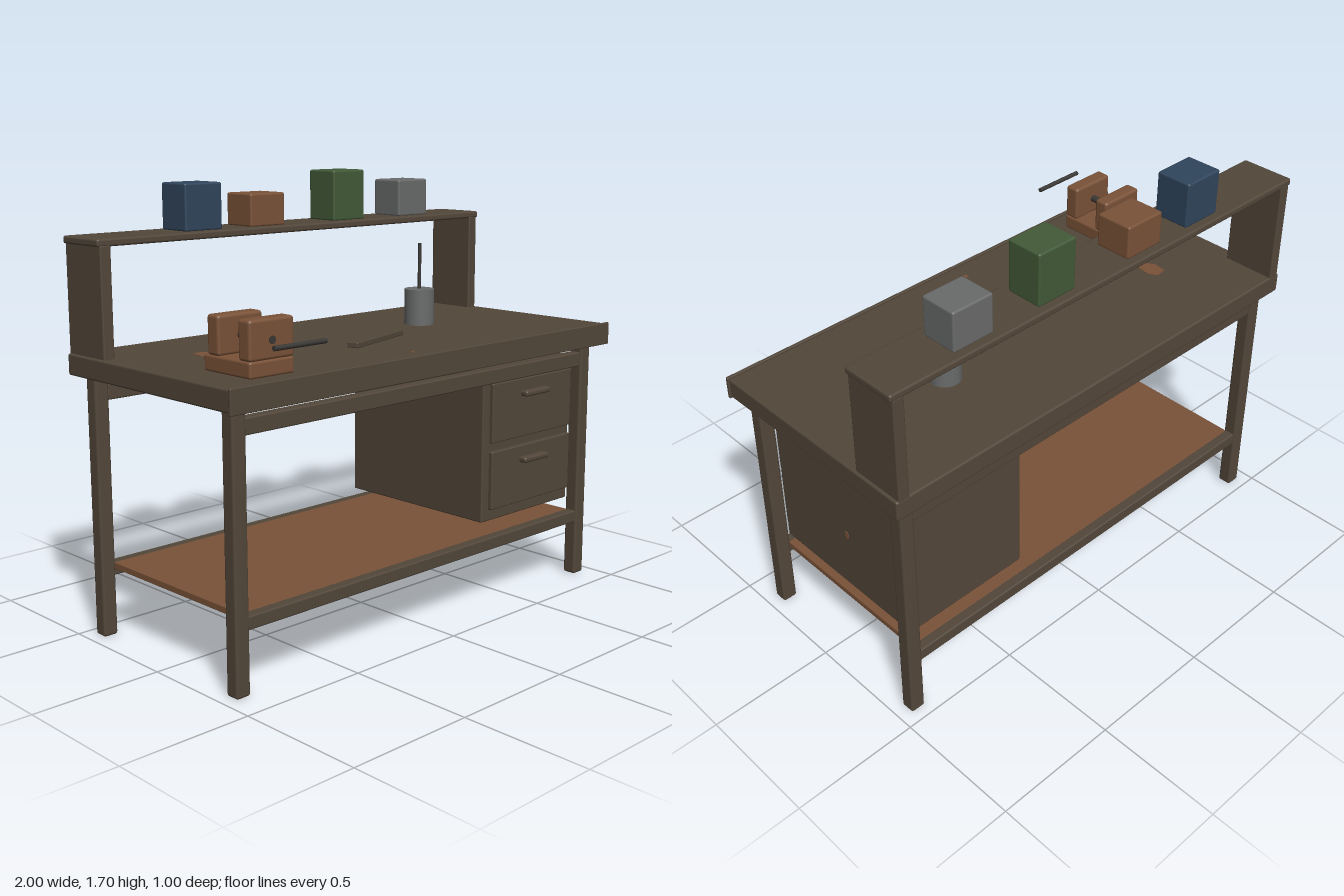
import * as THREE from 'three';
import { RoundedBoxGeometry } from 'three/addons/geometries/RoundedBoxGeometry.js';

const paint = (name, color) => {
  const m = new THREE.MeshStandardMaterial({ color });
  m.name = name;
  return m;
};

export function createModel() {
  const wood = paint('dark wood', 0x53473a);
  const rust = paint('rust brown', 0x7a5238);
  const blue = paint('dull blue', 0x30455c);
  const green = paint('dull green', 0x425a38);
  const grey = paint('grey metal', 0x696b6a);
  const iron = paint('dark iron', 0x393734);

  const model = new THREE.Group();
  model.name = 'workbench';

  const add = (name, geometry, material, parent = model) => {
    const mesh = new THREE.Mesh(geometry, material);
    mesh.name = name;
    parent.add(mesh);
    return mesh;
  };
  // Softly bevelled block given by its min and max on each axis
  const block = (name, [x0, x1], [y0, y1], [z0, z1], material, bevel = 0.006, parent = model) => {
    const size = [x1 - x0, y1 - y0, z1 - z0];
    const r = Math.min(bevel, Math.min(...size) * 0.4);
    const mesh = add(name, new RoundedBoxGeometry(...size, 2, r), material, parent);
    mesh.position.set((x0 + x1) / 2, (y0 + y1) / 2, (z0 + z1) / 2);
    return mesh;
  };
  const rod = (name, radius, length, material, parent = model, sides = 16) =>
    add(name, new THREE.CylinderGeometry(radius, radius, length, sides), material, parent);

  // Worktop with a thin front lip
  block('worktop', [-0.995, 0.995], [0.995, 1.075], [-0.5, 0.43], wood, 0.008);
  block('frontLip', [-1, 1], [0.99, 1.08], [0.428, 0.442], wood, 0.004);

  // Legs
  for (const sx of [-1, 1]) {
    for (const z of [0.357, -0.427]) {
      const x = sx * 0.921;
      block('leg', [x - 0.03, x + 0.03], [0, 1], [z - 0.029, z + 0.029], wood, 0.01);
    }
  }

  // Long rails at front and back, and the lower shelf between them
  for (const z of [0.357, -0.427]) {
    block('upperRail', [-0.895, 0.895], [0.9, 0.96], [z - 0.022, z + 0.022], wood);
    block('lowerRail', [-0.895, 0.895], [0.23, 0.28], [z - 0.022, z + 0.022], wood);
  }
  block('lowerShelf', [-0.89, 0.89], [0.255, 0.28], [-0.41, 0.34], rust, 0.003);

  // Drawer cabinet
  block('cabinet', [0.345, 0.89], [0.33, 0.945], [-0.397, 0.33], wood);
  for (const [y0, y1, handleY] of [[0.65, 0.89, 0.83], [0.378, 0.615, 0.557]]) {
    block('drawerFront', [0.385, 0.88], [y0, y1], [0.325, 0.347], wood, 0.005);
    block('drawerHandle', [0.555, 0.707], [handleY - 0.012, handleY + 0.012], [0.34, 0.378], wood, 0.009);
  }

  // Raised rack over the back edge
  for (const sx of [-1, 1]) {
    const x = sx * 0.962;
    block('rackUpright', [x - 0.023, x + 0.023], [1.07, 1.478], [-0.5, -0.28], wood);
  }
  block('rackShelf', [-0.995, 0.995], [1.472, 1.5], [-0.5, -0.28], wood, 0.008);

  // Storage boxes on the rack
  for (const [x, top, material] of [
    [-0.498, 1.675, blue], [-0.188, 1.625, rust], [0.245, 1.7, green], [0.62, 1.65, grey],
  ]) {
    block('storageBox', [x - 0.086, x + 0.086], [1.498, top], [-0.467, -0.321], material, 0.008);
  }

  // Vise
  const vise = new THREE.Group();
  vise.name = 'vise';
  model.add(vise);
  block('viseBase', [-0.845, -0.65], [1.073, 1.133], [0.107, 0.352], rust, 0.01, vise);
  for (const z of [0.321, 0.158]) {
    block('viseJaw', [-0.845, -0.65], [1.13, 1.27], [z - 0.031, z + 0.031], rust, 0.012, vise);
  }
  const screw = rod('viseScrew', 0.014, 0.25, iron, vise);
  screw.rotation.x = Math.PI / 2;
  screw.position.set(-0.748, 1.197, 0.231);
  const bar = rod('viseHandle', 0.009, 0.224, iron, vise);
  bar.rotation.z = Math.PI / 2;
  bar.position.set(-0.748, 1.198, 0.491);

  // Can with an upright rod
  rod('can', 0.061, 0.146, grey, model, 32).position.set(0.431, 1.148, -0.1);
  rod('canRod', 0.007, 0.2, iron).position.set(0.431, 1.307, -0.1);

  // Flat bar lying on the worktop
  const stick = block('flatBar', [-0.181, 0.181], [1.074, 1.096], [-0.023, 0.023], wood, 0.004);
  stick.position.set(-0.003, 1.085, 0.086);
  stick.rotation.y = 0.285;

  // Rust stains, thin irregular patches
  const outline = [[-0.03, 0.05], [0.018, 0.055], [0.037, 0.02], [0.03, -0.035],
    [0.008, -0.055], [-0.016, -0.045], [-0.037, -0.005]].map(([x, y]) => new THREE.Vector2(x, y));
  const patch = new THREE.ExtrudeGeometry(new THREE.Shape(outline), { depth: 0.004, bevelEnabled: false });
  const stain = (position, rx, ry, scale) => {
    const mesh = add('rustStain', patch, rust);
    mesh.position.set(...position);
    mesh.rotation.set(rx, ry, 0);
    mesh.scale.set(scale, scale, 1);
  };
  stain([-0.652, 1.073, -0.12], -Math.PI / 2, 0, 1);
  stain([-0.652, 0.997, -0.12], Math.PI / 2, 0, 0.7);
  stain([-0.08, 1.073, 0.352], -Math.PI / 2, 0, 0.2);
  stain([0.888, 0.58, -0.06], 0, Math.PI / 2, 0.3);

  return model;
}
